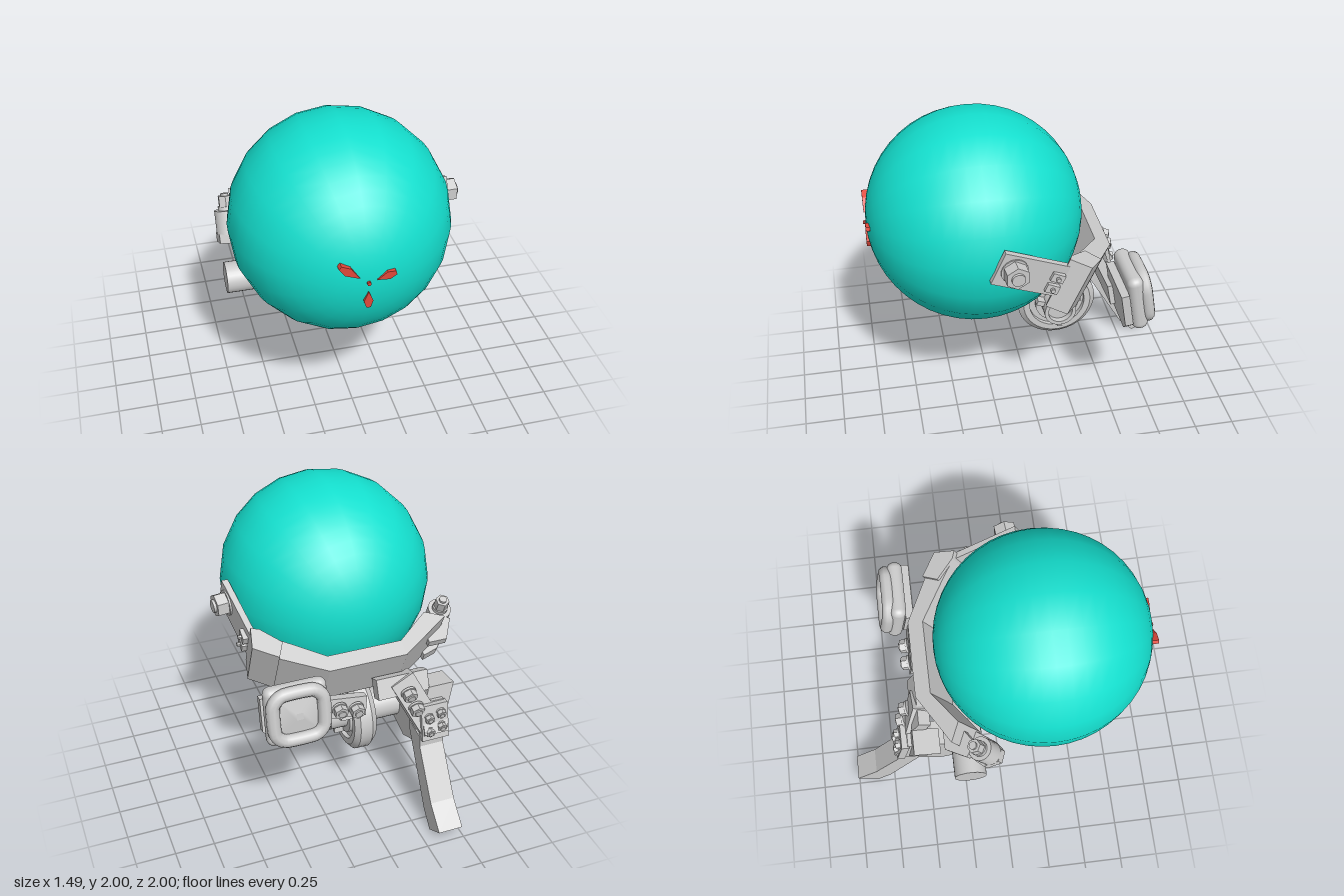
import * as THREE from 'three';
import { RoundedBoxGeometry } from 'three/addons/geometries/RoundedBoxGeometry.js';
import { toCreasedNormals } from 'three/addons/utils/BufferGeometryUtils.js';

const grey = new THREE.MeshStandardMaterial({ color: 0xcccccc });
const teal = new THREE.MeshStandardMaterial({ color: 0x14e0cf });
const red = new THREE.MeshStandardMaterial({ color: 0xe0483a });
const V = (x, y, z) => new THREE.Vector3(x, y, z);

function add(parent, name, geo, pos = [0, 0, 0], rot = [0, 0, 0], mat = grey) {
  const m = new THREE.Mesh(geo, mat);
  m.name = name;
  m.position.set(...pos);
  m.rotation.set(...rot);
  parent.add(m);
  return m;
}
const box = (w, h, d) => new THREE.BoxGeometry(w, h, d);
const crease = (g) => toCreasedNormals(g, 0.6);
const cyl = (r, h, n = 24, r2 = r) => crease(new THREE.CylinderGeometry(r2, r, h, n));
const shape = (pts) => new THREE.Shape(pts.map((p) => new THREE.Vector2(...p)));
const slab = (pts, depth) => new THREE.ExtrudeGeometry(shape(pts), { depth, bevelEnabled: false });
// Side profile of (z, y) points, spanning x0..x1
const sideSlab = (pts, x0, x1) => slab(pts, x1 - x0).rotateY(-Math.PI / 2).translate(x1, 0, 0);
// Plan outline of (x, z) points, spanning y0..y1
const planSlab = (pts, y0, y1) =>
  slab(pts.map(([x, z]) => [x, -z]), y1 - y0).rotateX(-Math.PI / 2).translate(0, y0, 0);

// Hexagon bolt with a washer and a small stud, pointing along dir
function bolt(parent, name, pos, dir, r, h) {
  const g = new THREE.Group();
  g.name = name;
  add(g, 'washer', cyl(r * 1.1, h * 0.25, 16), [0, h * 0.12, 0]);
  add(g, 'hexHead', cyl(r, h * 0.7, 6), [0, h * 0.55, 0]);
  add(g, 'stud', cyl(r * 0.55, h * 0.2, 12), [0, h * 0.95, 0]);
  g.position.set(...pos);
  g.quaternion.setFromUnitVectors(V(0, 1, 0), V(...dir).normalize());
  parent.add(g);
}

function makeBall(root) {
  const g = new THREE.Group();
  g.name = 'ballGroup';
  g.position.set(-0.045, 1.325, 0.31);
  add(g, 'ball', new THREE.SphereGeometry(0.675, 20, 24).rotateX(Math.PI / 2), [0, 0, 0], [0, 0, 0], teal);
  // Three kite marks around a central dot: angle, inner radius, outer radius
  for (const [deg, a, b] of [[-90, 0.06, 0.17], [16, 0.05, 0.165], [142, 0.065, 0.21]]) {
    const m = a + (b - a) * 0.6;
    add(g, 'mark', slab([[a, 0], [m, -0.027], [b, -0.012], [b, 0.012], [m, 0.027]], 0.045),
      [0, 0, 0.635], [0, 0, deg * Math.PI / 180], red);
  }
  add(g, 'centreDot', cyl(0.012, 0.03, 8), [0, 0, 0.675], [Math.PI / 2, 0, 0], red);
  root.add(g);
}

// Strap wrapping the rear of the ball, modelled level and then tilted
function makeStrap(root) {
  const g = new THREE.Group();
  g.name = 'strap';
  g.position.set(0, 1.05, -0.41);
  g.rotation.x = -0.425;
  add(g, 'strapBand', planSlab([[-0.28, -0.05], [0.22, -0.05], [0.48, 0.1], [0.61, 0.21], [0.55, 0.31],
    [0.46, 0.24], [0.2, 0.055], [-0.28, 0.055], [-0.5, 0.22], [-0.62, 0.16]], -0.19, 0.13));
  add(g, 'clampBlock', planSlab([[0.49, 0.1], [0.63, 0.2], [0.6, 0.34], [0.55, 0.32], [0.44, 0.2]], -0.195, 0.155));
  add(g, 'sideArm', planSlab([[0.56, 0.28], [0.6, 0.28], [0.66, 0.75], [0.62, 0.75]], -0.11, 0.11));
  bolt(g, 'sideArmBolt', [0.63, 0.01, 0.65], [1, 0, -0.1], 0.075, 0.11);
  for (const y of [-0.05, 0.03]) {
    add(g, 'sideCatch', box(0.06, 0.055, 0.08), [0.61, y, 0.37]);
    add(g, 'sideCatchPin', cyl(0.014, 0.03, 8), [0.645, y, 0.37], [0, 0, Math.PI / 2]);
  }
  // Hinge pivot on the other end
  add(g, 'hingePlate', planSlab([[-0.5, 0.06], [-0.6, 0.09], [-0.74, 0.24], [-0.73, 0.34], [-0.66, 0.37],
    [-0.59, 0.32], [-0.48, 0.18]], -0.19, -0.13));
  add(g, 'hingeTab', planSlab([[-0.5, 0.06], [-0.62, 0.06], [-0.7, 0.2], [-0.62, 0.26], [-0.5, 0.18]], -0.03, 0.02));
  add(g, 'hingeBarrel', cyl(0.075, 0.15), [-0.665, -0.06, 0.29]);
  bolt(g, 'hingeBolt', [-0.665, 0.015, 0.29], [0, 1, 0], 0.045, 0.1);
  root.add(g);
}

// Framed square panel at the rear with its backing plate and arm
function makePanel(root) {
  const g = new THREE.Group();
  g.name = 'rearPanel';
  g.position.set(0.465, 0.975, -0.595);
  g.rotation.set(0.16, Math.PI, 0);
  add(g, 'panelBody', new RoundedBoxGeometry(0.39, 0.38, 0.1, 4, 0.045), [0, 0, -0.01]);
  // Rounded frame swept round a square, leaving a recess
  const frame = new THREE.CatmullRomCurve3([[1, 0.6], [0.6, 1], [-0.6, 1], [-1, 0.6], [-1, -0.6], [-0.6, -1], [0.6, -1], [1, -0.6]]
    .map(([x, y]) => V(x * 0.155, y * 0.15, 0.05)), true, 'catmullrom', 0.3);
  add(g, 'panelFrame', new THREE.TubeGeometry(frame, 48, 0.042, 10, true));
  add(g, 'panelFace', new THREE.CylinderGeometry(0.03, 0.17, 0.03, 4, 1).rotateY(Math.PI / 4).rotateX(Math.PI / 2)
    .toNonIndexed(), [0, 0, 0.053]);
  add(g, 'backPlate', slab([[-0.2, -0.12], [-0.12, -0.19], [0.12, -0.18], [0.18, -0.1], [0.18, 0.1], [-0.2, 0.1]], 0.05),
    [0, 0, -0.11]);
  root.add(g);
  add(root, 'panelArm', box(0.42, 0.13, 0.06), [0.2, 0.87, -0.5], [0.16, 0, 0.12]);
  for (const [x, y] of [[0.06, 0.85], [0.17, 0.875]])
    bolt(root, 'panelArmBolt', [x, y, -0.53], [0, -0.16, -1], 0.045, 0.06);
}

// Cross tube with a bevelled wheel and a hub ring
function makeWheel(root) {
  const g = new THREE.Group();
  g.name = 'wheelAssembly';
  g.position.set(0, 0.6, -0.22);
  g.rotation.z = -Math.PI / 2;
  const lathe = (pts, n = 40) => crease(new THREE.LatheGeometry(pts.map((p) => new THREE.Vector2(...p)), n));
  add(g, 'crossTube', lathe([[0, -0.69], [0.105, -0.69], [0.105, 0.14], [0.08, 0.14], [0.08, 0.1], [0, 0.1]], 28));
  add(g, 'wheel', lathe([[0.1, -0.08], [0.18, -0.09], [0.2, -0.12], [0.225, -0.12], [0.26, -0.08], [0.26, 0],
    [0.225, 0.03], [0.185, 0.03], [0.185, 0], [0.145, 0], [0.145, 0.03], [0.1, 0.03]]));
  for (const deg of [20, 160, 267]) {
    const a = deg * Math.PI / 180;
    // Local y runs along the axle; spread the tabs round it
    add(g, 'hubTab', box(0.06, 0.08, 0.035), [-Math.sin(a) * 0.125, 0.05, Math.cos(a) * 0.125],
      [0, Math.atan2(-Math.cos(a), -Math.sin(a)), 0]);
  }
  root.add(g);
}

// Bracket from the strap down to the tube housing, and the bent leg
function makeLeg(root) {
  add(root, 'strapClamp', box(0.34, 0.13, 0.08), [-0.25, 0.93, -0.5], [0.4, 0, 0]);
  const neck = add(root, 'neck', box(0.16, 0.4, 0.11), [-0.33, 0.8, -0.55]);
  neck.quaternion.setFromUnitVectors(V(0, 1, 0), V(0.17, 0.34, 0.12).normalize());
  for (const [x, y, z] of [[-0.27, 0.91, -0.57], [-0.31, 0.81, -0.6]])
    bolt(root, 'neckBolt', [x, y, z], [0, -0.3, -1], 0.045, 0.06);
  add(root, 'tubeHousing', sideSlab([[-0.12, 0.55], [-0.12, 0.67], [-0.22, 0.73], [-0.44, 0.76], [-0.6, 0.68],
    [-0.55, 0.5], [-0.4, 0.43], [-0.22, 0.48]], -0.49, -0.33));
  // Flared shoulder, its top pushed outward
  const flare = box(0.17, 0.3, 0.17);
  const p = flare.attributes.position;
  for (let i = 0; i < p.count; i++) if (p.getY(i) > 0) p.setX(i, p.getX(i) - 0.08);
  flare.computeVertexNormals();
  add(root, 'housingShoulder', flare, [-0.42, 0.74, -0.5], [0.15, 0, 0]);
  // Plate bolted over the top of the leg
  add(root, 'legPlate', box(0.18, 0.24, 0.05), [-0.42, 0.7, -0.64], [0.2, 0, 0]);
  for (const [x, y] of [[-0.46, 0.76], [-0.38, 0.74], [-0.46, 0.67], [-0.38, 0.65]])
    bolt(root, 'legPlateBolt', [x, y, -0.655 - (0.7 - y) * 0.2], [0, -0.2, -1], 0.03, 0.04);
  add(root, 'legSocket', sideSlab([[-0.46, 0.8], [-0.6, 0.82], [-0.7, 0.64], [-0.62, 0.57], [-0.49, 0.55]], -0.5, -0.34));
  add(root, 'leg', sideSlab([[-0.49, 0.62], [-0.66, 0.6], [-0.66, 0.53], [-0.86, 0.22], [-1, 0.09], [-0.865, 0.005],
    [-0.77, 0.1], [-0.5, 0.56]], -0.485, -0.325));
}

export function createModel() {
  const root = new THREE.Group();
  root.name = 'model';
  makeBall(root);
  makeStrap(root);
  makePanel(root);
  makeWheel(root);
  makeLeg(root);
  return root;
}
